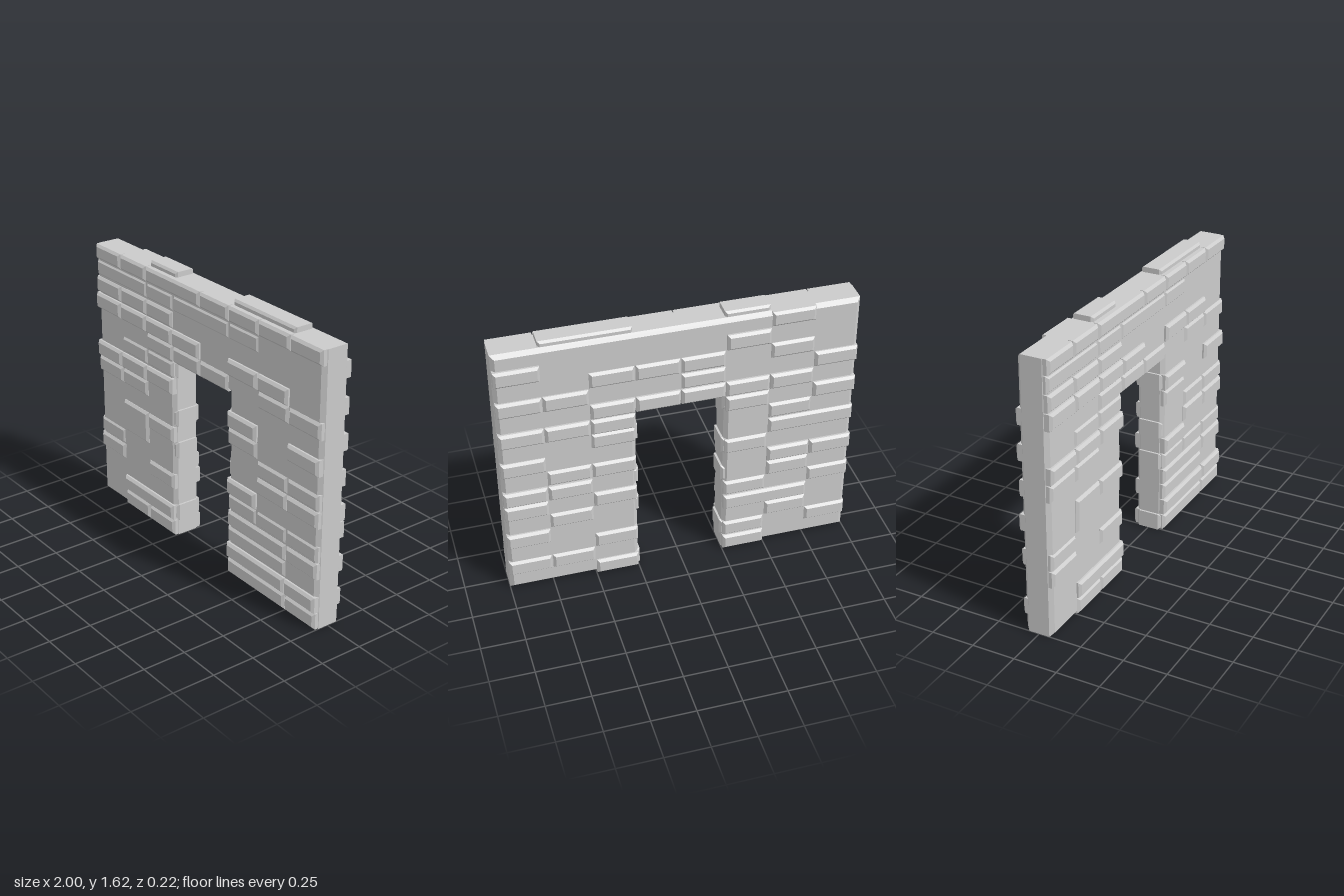
import * as THREE from 'three';

const CW = 0.25, RH = 0.1; // brick grid: 8 columns, 16 rows
const material = new THREE.MeshStandardMaterial({ color: 0xcccccc, flatShading: true, side: THREE.DoubleSide });

// Brick courses from top to bottom. Equal neighbouring letters form one brick,
// dots are the recessed wall face, spaces are the doorway.
const FRONT = [
  'abccdefg', 'aabccd..', 'abc.....', 'abcd.ef.',
  '..abc.de', '.ab  ...', 'abc  d.e', 'ab.  d..',
  '...  .ab', '..a  .bc', '...  a..', 'a..  bcd',
  'a.b  ccd', '...  aa.', '.aa  bbc', '.ab  ccd',
];
const BACK = [
  '.a......', '..a....b', '.a.bcd..', 'a..b..cd',
  '.abcde..', 'a.b  cde', '.a.  b..', 'aa.  ..c',
  '..a  bc.', 'ab.  .de', '.a.  b.c', 'a.b  .c.',
  '.aa  ..b', '.b.  a..', 'a.b  .cd', '..a  b..',
];
// Outermost depth of each course, top to bottom
const FRONT_Z = [.1, .092, .1, .107, .098, .094, .107, .098, .096, .1, .107, .093, .098, .096, .107, .098];
const BACK_Z = [.097, .108, .1, .105, .108, .108, .097, .102, .098, .108, .105, .098, .106, .102, .098, .104];

// Slab centred on z, with one chamfer all round
function chamferedSlab(shape, depth, bevel) {
  const geometry = new THREE.ExtrudeGeometry(shape, {
    depth: depth - 2 * bevel, bevelEnabled: true, bevelSegments: 1,
    bevelSize: bevel, bevelThickness: bevel, bevelOffset: -bevel,
  });
  return geometry.translate(0, 0, bevel - depth / 2);
}

function outline(points) {
  return new THREE.Shape(points.map(([x, y]) => new THREE.Vector2(x, y)));
}

function addBlock(group, name, x0, x1, y0, y1, z0, z1, bevel = 0.014) {
  const shape = outline([[x0, y0], [x1, y0], [x1, y1], [x0, y1]]);
  const block = new THREE.Mesh(chamferedSlab(shape, z1 - z0, bevel), material);
  block.name = name;
  block.position.z = (z0 + z1) / 2;
  group.add(block);
}

function addCourses(group, name, rows, depths, side) {
  const face = new THREE.Group();
  face.name = name;
  rows.forEach((row, r) => {
    const y0 = 1.5 - r * RH;
    for (let c = 0; c < 8;) {
      let end = c + 1;
      if (row[c] !== '.' && row[c] !== ' ') {
        while (row[end] === row[c]) end++;
        const z = side * depths[r], inner = side * 0.045;
        addBlock(face, 'brick', -1 + c * CW + 0.003, -1 + end * CW - 0.003,
          y0 + 0.003, Math.min(y0 + RH - 0.003, 1.59), Math.min(z, inner), Math.max(z, inner));
      }
      c = end;
    }
  });
  group.add(face);
  return face;
}

export function createModel() {
  const model = new THREE.Group();
  model.name = 'brickDoorwayWall';

  // Wall body with the doorway cut up from the ground
  const body = outline([[-1, 0], [-0.25, 0], [-0.25, 1.1], [0.25, 1.1], [0.25, 0], [1, 0], [1, 1.59], [-1, 1.59]]);
  const core = new THREE.Mesh(chamferedSlab(body, 0.166, 0.022), material);
  core.name = 'wallBody';
  model.add(core);

  // Projecting bricks on both faces
  const front = addCourses(model, 'frontBricks', FRONT, FRONT_Z, 1);
  addCourses(model, 'backBricks', BACK, BACK_Z, -1);

  // Square stone two courses high
  addBlock(front, 'squareStone', -0.747, -0.503, 0.503, 0.697, 0.045, 0.1);

  // Raised stones along the top
  addBlock(model, 'capStone', -0.5, -0.25, 1.56, 1.62, -0.06, 0.06, 0.012);
  addBlock(model, 'capStone', 0.25, 0.75, 1.56, 1.62, -0.06, 0.06, 0.012);

  // Stones nudging into the doorway
  for (const y of [0.1, 0.5, 0.7, 1.0]) addBlock(model, 'jambStone', -0.4, -0.238, y, y + RH, -0.075, 0.075);
  for (const y of [0, 0.4, 0.6, 0.9]) addBlock(model, 'jambStone', 0.238, 0.4, y, y + RH, -0.075, 0.075);
  addBlock(model, 'lintelStone', -0.25, 0, 1.085, 1.18, -0.075, 0.075);

  return model;
}
